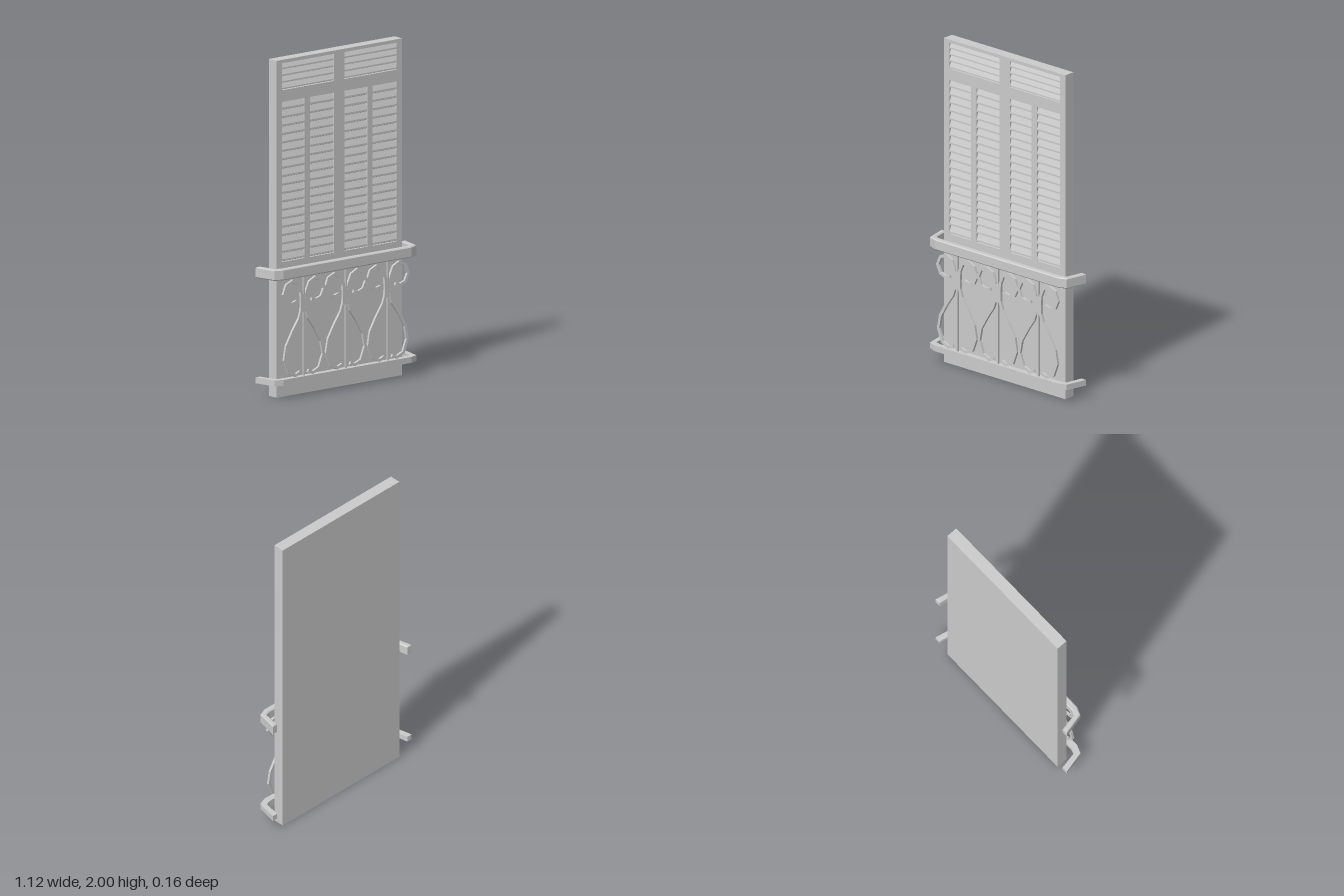
import * as THREE from 'three';

const grey = new THREE.MeshStandardMaterial({ color: 0xcccccc, flatShading: true });
const HALF = 0.472, DEPTH = 0.07, RECESS = 0.018;

function add(parent, name, geometry) {
  const mesh = new THREE.Mesh(geometry, grey);
  mesh.name = name;
  parent.add(mesh);
  return mesh;
}

const points = (list) => list.map(([x, y]) => new THREE.Vector2(x, y));

// Outline of a flat band of even width along an open path
function bandShape(path, width) {
  const left = [], right = [];
  path.forEach((p, i) => {
    const a = path[Math.max(i - 1, 0)], b = path[Math.min(i + 1, path.length - 1)];
    const d = b.clone().sub(a).normalize().multiplyScalar(width / 2);
    left.push(new THREE.Vector2(p.x - d.y, p.y + d.x));
    right.unshift(new THREE.Vector2(p.x + d.y, p.y - d.x));
  });
  return new THREE.Shape([...left, ...right]);
}

// Sawtooth stack of slats: each slopes out from the recess to its lower lip
function louverGeometry({ x0, x1, y0, y1, count }) {
  const pitch = (y1 - y0) / count;
  const profile = [[RECESS + 0.004, y0]];
  for (let i = 0; i < count; i++) {
    const y = y0 + i * pitch;
    profile.push([RECESS - 0.002, y], [0.003, y + pitch * 0.1],
      [0.003, y + pitch * 0.3], [RECESS - 0.003, y + pitch * 0.93]);
  }
  profile.push([RECESS + 0.004, y1]);
  const geometry = new THREE.ExtrudeGeometry(new THREE.Shape(points(profile)),
    { depth: x1 - x0, bevelEnabled: false });
  return geometry.rotateY(Math.PI / 2).translate(x0, 0, 0);
}

function createShutters() {
  const group = new THREE.Group();
  group.name = 'shutters';

  const openings = [];
  for (const [x0, x1] of [[-0.43, -0.26], [-0.22, -0.04], [0.04, 0.21], [0.25, 0.43]])
    openings.push({ x0, x1, y0: 0.8, y1: 1.75, count: 19 });
  for (const [x0, x1] of [[-0.43, -0.04], [0.04, 0.43]])
    openings.push({ x0, x1, y0: 1.82, y1: 1.98, count: 4 });

  // Solid back board
  add(group, 'backBoard', new THREE.BoxGeometry(2 * HALF, 2, DEPTH - RECESS))
    .position.set(0, 1, -(DEPTH + RECESS) / 2);

  // Front frame with an opening for each set of slats
  const frame = new THREE.Shape(points([[-HALF, 0], [HALF, 0], [HALF, 2], [-HALF, 2]]));
  for (const { x0, x1, y0, y1 } of openings)
    frame.holes.push(new THREE.Path(points([[x0, y0], [x0, y1], [x1, y1], [x1, y0]])));
  add(group, 'frontFrame', new THREE.ExtrudeGeometry(frame, { depth: RECESS, bevelEnabled: false }))
    .position.z = -RECESS;

  for (const opening of openings) add(group, 'louvers', louverGeometry(opening));
  return group;
}

// Rail that runs across the front and turns back at both ends
function railGeometry(y0, y1, bevel) {
  const outer = [[0.562, -0.08], [0.532, 0.055], [0.48, 0.075]];
  const inner = [[0.475, 0.037], [0.507, 0.026], [0.527, -0.08]];
  const mirror = (list) => list.map(([x, z]) => [-x, z]).reverse();
  const outline = [...outer, ...mirror(outer), ...mirror(inner), ...inner];
  const shape = new THREE.Shape(points(outline.map(([x, z]) => [x, -z])));
  const geometry = new THREE.ExtrudeGeometry(shape, {
    depth: y1 - y0 - 2 * bevel, bevelEnabled: bevel > 0, bevelSegments: 1,
    bevelThickness: bevel, bevelSize: bevel, bevelOffset: -bevel,
  });
  return geometry.rotateX(-Math.PI / 2).translate(0, y0 + bevel, 0);
}

function createBalcony() {
  const group = new THREE.Group();
  group.name = 'balconyRailing';
  add(group, 'topRail', railGeometry(0.71, 0.775, 0.006));
  add(group, 'bottomRail', railGeometry(0.085, 0.12, 0));

  // One half of the ornament: lower teardrop, stem and upper curl
  const scroll = points([
    [0.03, 0.145], [0.065, 0.13], [0.115, 0.152], [0.145, 0.23], [0.13, 0.31],
    [0.08, 0.395], [0.035, 0.46], [0.019, 0.51], [0.017, 0.56], [0.02, 0.62],
    [0.042, 0.67], [0.085, 0.692], [0.13, 0.672], [0.152, 0.62],
    [0.13, 0.572], [0.09, 0.557], [0.055, 0.567],
  ]);
  for (const x of [-0.315, 0, 0.315]) {
    const ornament = new THREE.Group();
    ornament.name = 'ornament';
    ornament.position.set(x, 0, 0.05);
    for (const side of [1, -1]) {
      const path = scroll.map((p) => new THREE.Vector2(p.x * side, p.y));
      add(ornament, side > 0 ? 'leftScroll' : 'rightScroll',
        new THREE.ExtrudeGeometry(bandShape(path, 0.018), { depth: 0.015, bevelEnabled: false }));
    }
    add(ornament, 'bar', new THREE.BoxGeometry(0.012, 0.6, 0.01)).position.set(0, 0.415, 0.0075);
    // Collar that ties the two stems together
    add(ornament, 'collar', new THREE.BoxGeometry(0.034, 0.11, 0.014)).position.set(0, 0.555, 0.0075);
    group.add(ornament);
  }
  return group;
}

export function createModel() {
  const model = new THREE.Group();
  model.name = 'shutteredWindowWithBalcony';
  model.add(createShutters(), createBalcony());
  return model;
}
